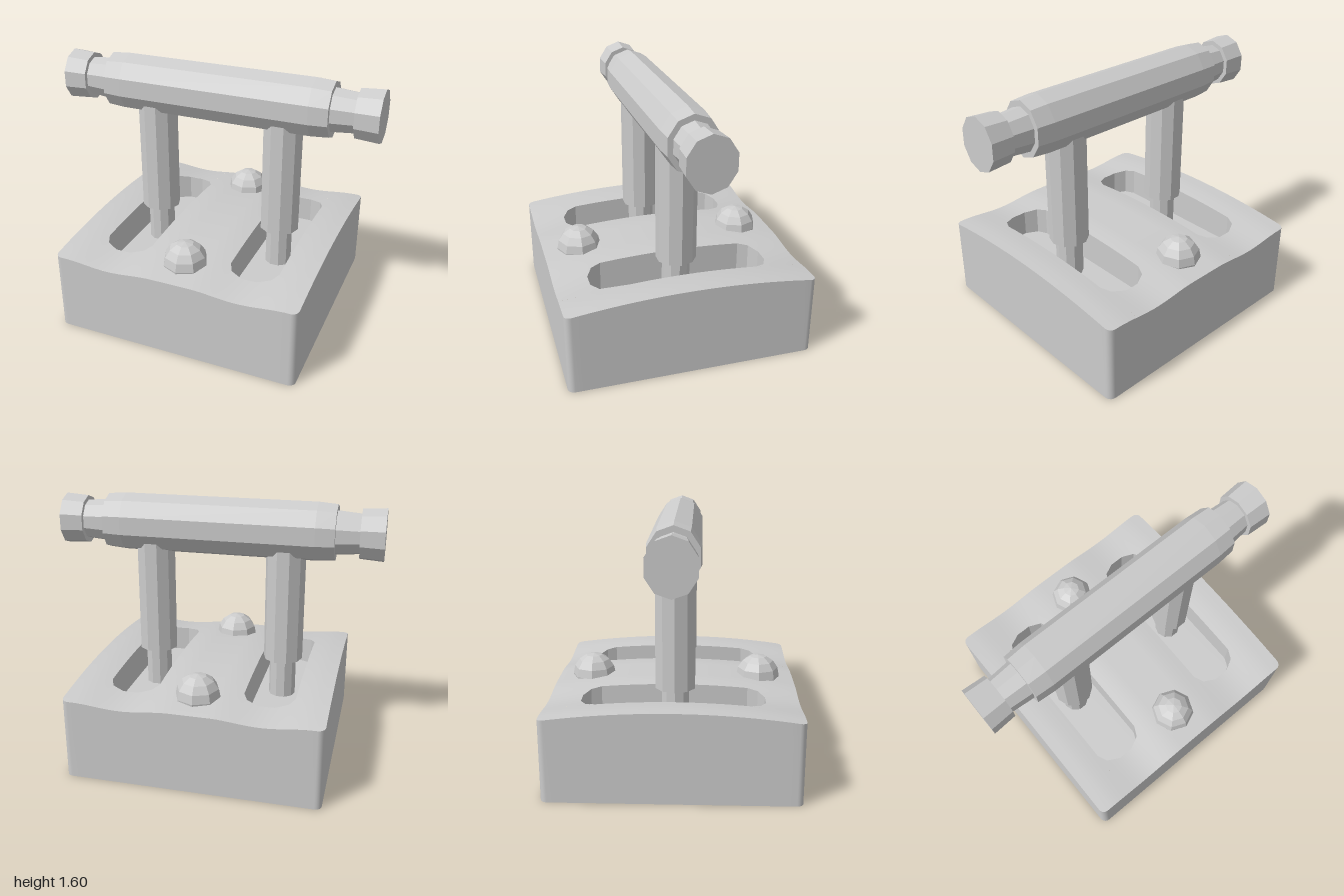
import * as THREE from 'three';

const HX = 0.775, HZ = 0.757, R = 0.04;          // base footprint and corner radius
const SLOT_X = 0.415, SLOT_W = 0.153, SLOT_Z = 0.45, SLOT_END = 0.105;
const FLOOR = 0.34, MID_Z = 0.0125;

const material = new THREE.MeshStandardMaterial({ color: 0xcccccc });
const faceted = new THREE.MeshStandardMaterial({ color: 0xcccccc, flatShading: true });

function add(parent, name, geometry, mat = faceted, x = 0, y = 0, z = 0) {
  const mesh = new THREE.Mesh(geometry, mat);
  mesh.name = name;
  mesh.position.set(x, y, z);
  parent.add(mesh);
  return mesh;
}

// Height of the crowned top, with a shallow valley along each slot
function topHeight(x, z) {
  const d = Math.min(Math.abs(Math.abs(x) - SLOT_X) / 0.3, 1);
  return 0.555 - 0.055 * (z / HZ) ** 2 - 0.011 * (1 + Math.cos(Math.PI * d));
}

function topNormal(x, z) {
  const e = 0.004;
  return new THREE.Vector3(
    (topHeight(x - e, z) - topHeight(x + e, z)) / (2 * e), 1,
    (topHeight(x, z - e) - topHeight(x, z + e)) / (2 * e)).normalize();
}

function buffer(pos, idx, nor) {
  const g = new THREE.BufferGeometry();
  g.setAttribute('position', new THREE.Float32BufferAttribute(pos, 3));
  g.setIndex(idx);
  if (nor) g.setAttribute('normal', new THREE.Float32BufferAttribute(nor, 3));
  else g.computeVertexNormals();
  return g;
}

// Patch of the top surface between two z limits that depend on x
function topPatch(xs, zFrom, zTo, n = 20) {
  const pos = [], nor = [], idx = [];
  xs.forEach((x, i) => {
    for (let j = 0; j <= n; j++) {
      const z = THREE.MathUtils.lerp(zFrom(x), zTo(x), j / n);
      pos.push(x, topHeight(x, z), z);
      nor.push(...topNormal(x, z).toArray());
      if (i && j) {
        const d = i * (n + 1) + j, c = d - 1, b = d - n - 1, a = b - 1;
        idx.push(a, b, c, b, d, c);
      }
    }
  });
  return buffer(pos, idx, nor);
}

// Wall from height y0 up to the top surface, along a closed outline
function wall(outline, y0) {
  const pos = [], idx = [];
  outline.forEach((p, i) => {
    const q = outline[(i + 1) % outline.length];
    const n = Math.max(1, Math.ceil(p.distanceTo(q) / 0.05));
    for (let k = 0; k < n; k++) {
      const v = p.clone().lerp(q, k / n);
      pos.push(v.x, y0, -v.y, v.x, topHeight(v.x, v.y), -v.y);
    }
  });
  const count = pos.length / 3;
  for (let b = 0; b < count; b += 2) {
    const c = (b + 2) % count;
    idx.push(b, c, b + 1, c, c + 1, b + 1);
  }
  return buffer(pos, idx);
}

// Insert n - 1 even steps between the given stops
function refine(stops, n) {
  const out = [stops[0]];
  for (let i = 1; i < stops.length; i++)
    for (let k = 1; k <= n; k++) out.push(THREE.MathUtils.lerp(stops[i - 1], stops[i], k / n));
  return out;
}

function baseOutline() {
  const pts = [];
  [[1, 1], [-1, 1], [-1, -1], [1, -1]].forEach(([sx, sz], q) => {
    for (let k = 0; k <= 5; k++) {
      const a = (q + k / 5) * Math.PI / 2;
      pts.push(new THREE.Vector2(sx * (HX - R) + R * Math.cos(a), sz * (HZ - R) + R * Math.sin(a)));
    }
  });
  return pts;
}

// Slot with faceted ends, made of half decagons
function slotOutline(cx) {
  const pts = [];
  for (const s of [1, -1])
    for (let k = 0; k <= 5; k++) {
      const a = k * Math.PI / 5;
      pts.push(new THREE.Vector2(cx + s * SLOT_W * Math.cos(a), s * (SLOT_Z + SLOT_END * Math.sin(a))));
    }
  return pts;
}

function makeBase() {
  const base = new THREE.Group();
  base.name = 'base';
  const outline = baseOutline();
  add(base, 'baseSides', wall(outline, 0), material);
  add(base, 'baseUnderside', new THREE.ShapeGeometry(new THREE.Shape(outline)).rotateX(Math.PI / 2), material);

  const edge = x => {
    const d = Math.max(0, Math.abs(x) - (HX - R));
    return HZ - R + Math.sqrt(Math.max(0, R * R - d * d));
  };
  const back = x => -edge(x);
  const inner = SLOT_X - SLOT_W, outer = SLOT_X + SLOT_W;
  add(base, 'topMiddle', topPatch(refine([-inner, inner], 14), back, edge), material);

  for (const s of [1, -1]) {
    // Solid strip outside the slot, following the rounded corners
    const rim = refine([outer, HX - R], 5);
    for (let k = 1; k <= 5; k++) rim.push(HX - R + R * Math.sin(k * Math.PI / 10));
    add(base, 'topSide', topPatch(s > 0 ? rim : rim.map(x => -x).reverse(), back, edge), material);

    // Top surface in front of and behind the slot
    const slot = slotOutline(s * SLOT_X);
    const half = slot.slice(0, 6).reverse();
    const slotEnd = x => {
      let i = 1;
      while (i < 5 && x > half[i].x) i++;
      const t = (x - half[i - 1].x) / (half[i].x - half[i - 1].x);
      return THREE.MathUtils.lerp(half[i - 1].y, half[i].y, t);
    };
    const xs = refine(half.map(p => p.x), 3);
    add(base, 'topFront', topPatch(xs, slotEnd, edge, 8), material);
    add(base, 'topBack', topPatch(xs, back, x => -slotEnd(x), 8), material);

    // Recess
    add(base, 'slotFloor', new THREE.ShapeGeometry(new THREE.Shape(slot)).rotateX(-Math.PI / 2).translate(0, FLOOR, 0), material);
    add(base, 'slotWalls', wall([...slot].reverse(), FLOOR).toNonIndexed(), faceted);
  }
  return base;
}

function decagonPost(radius, y0, y1) {
  return new THREE.CylinderGeometry(radius, radius, y1 - y0, 10)
    .rotateY(Math.PI / 2).translate(0, (y0 + y1) / 2, 0);
}

export function createModel() {
  const model = new THREE.Group();
  model.name = 'leverSwitch';
  model.add(makeBase());

  // Two posts with thinner pins that run down into the slots
  for (const s of [1, -1]) {
    add(model, 'post', decagonPost(0.123, 0.588, 1.4), faceted, s * SLOT_X, 0, MID_Z);
    add(model, 'pin', decagonPost(0.084, FLOOR, 0.6), faceted, s * SLOT_X, 0, MID_Z);
  }

  // Crossbar grip with necks and flared end caps
  const side = [[0.6, 0.18], [0.715, 0.171], [0.715, 0.135], [0.857, 0.122], [0.857, 0.151], [1, 0.161], [1, 0]];
  const profile = [
    ...side.map(([x, r]) => new THREE.Vector2(r, -x)).reverse(),
    ...side.map(([x, r]) => new THREE.Vector2(r, x)),
  ];
  const bar = new THREE.LatheGeometry(profile, 10, Math.PI / 2)
    .rotateZ(Math.PI / 2).scale(1, 1, 0.895);
  add(model, 'handle', bar, faceted, 0, 1.415, MID_Z);

  // Domed studs at front and back
  for (const s of [1, -1]) {
    const dome = new THREE.SphereGeometry(0.138, 8, 5, 0, Math.PI * 2, 0, Math.PI * 0.62);
    add(model, 'stud', dome, faceted, 0, 0.522, s * 0.53);
  }
  return model;
}
